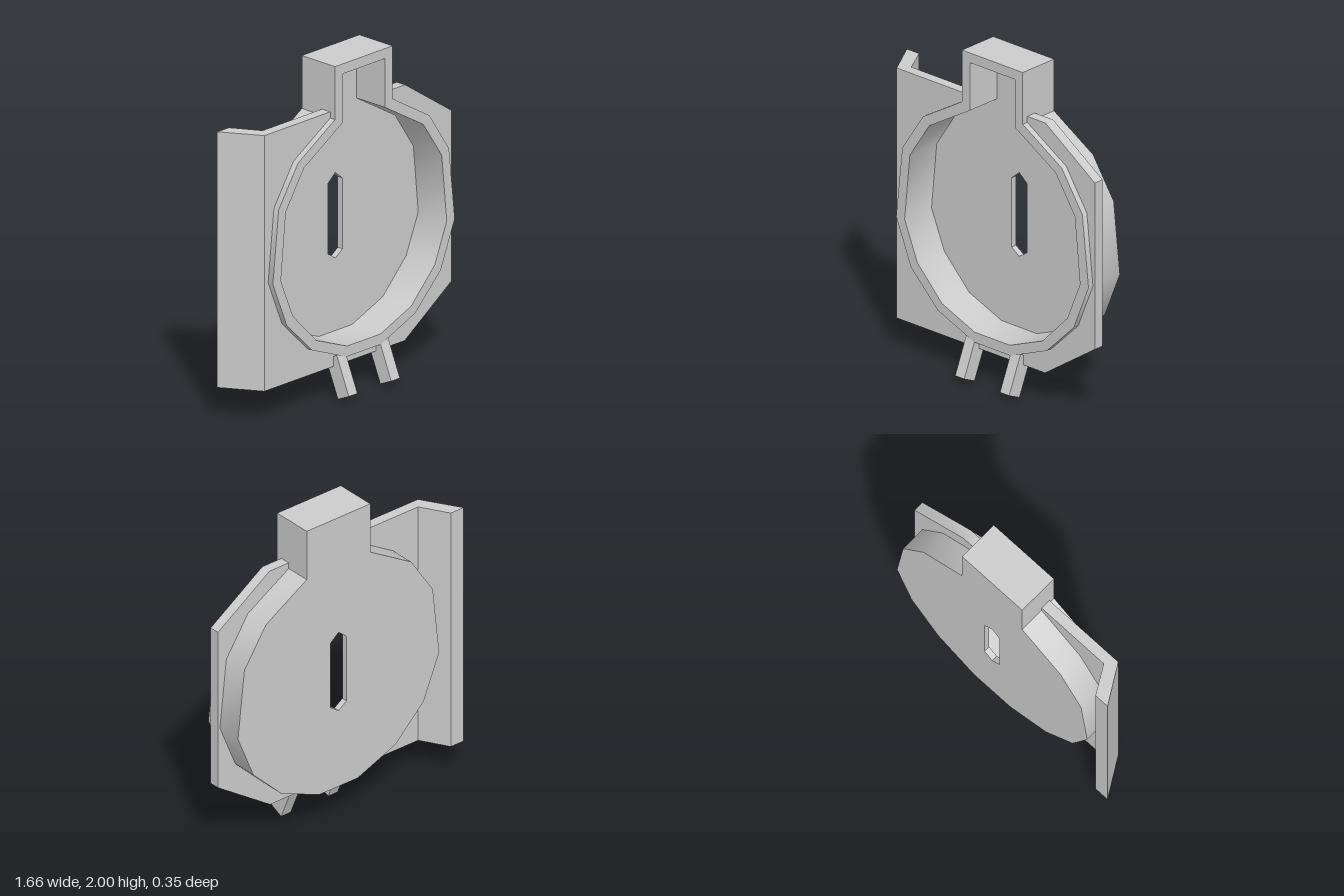
import * as THREE from 'three';
import { toCreasedNormals } from 'three/addons/utils/BufferGeometryUtils.js';

const CX = 0.077; // symmetry axis of the cup
const BACK = -0.165, FLOOR = -0.128, RIM = 0.094;
const PLATE_BACK = -0.007, PLATE_FRONT = 0.057;

// Right halves of the outlines, top to bottom, measured from the cup axis
const OUTER = [[0.233, 2], [0.233, 1.683], [0.532, 1.503], [0.69, 1.264], [0.737, 0.83], [0.624, 0.553], [0.418, 0.35], [0.14, 0.237]];
const INNER = [[0.172, 1.94], [0.172, 1.647], [0.484, 1.461], [0.632, 1.237], [0.672, 0.832], [0.574, 0.595], [0.384, 0.4], [0.135, 0.3]];
const SLOT = [[0, 1.247], [0.058, 1.198], [0.058, 0.774], [0, 0.734]];

// Complete a half outline by mirroring it across the cup axis (runs clockwise)
function mirrored(half) {
  const left = half.filter(([x]) => x > 0).reverse().map(([x, y]) => [-x, y]);
  return [...half, ...left].map(([x, y]) => new THREE.Vector2(x + CX, y));
}

const toPoints = (list) => list.map(([x, y]) => new THREE.Vector2(x, y));

// Holes run the other way round than the outline, so their walls face inwards
function extrude(points, depth, hole) {
  const shape = new THREE.Shape(points);
  if (hole) shape.holes.push(new THREE.Path([...hole].reverse()));
  return new THREE.ExtrudeGeometry(shape, { depth, bevelEnabled: false });
}

export function createModel() {
  const group = new THREE.Group();
  const material = new THREE.MeshStandardMaterial({ color: 0xcccccc });
  const add = (name, geometry) => {
    const mesh = new THREE.Mesh(toCreasedNormals(geometry, 0.65), material);
    mesh.name = name;
    group.add(mesh);
  };

  // Round cup with a square neck: wall and slotted floor
  const outer = mirrored(OUTER), inner = mirrored(INNER);
  add('cupWall', extrude(outer, RIM - BACK, inner).translate(0, 0, BACK));
  add('cupFloor', extrude(inner, FLOOR - BACK, mirrored(SLOT)).translate(0, 0, BACK));

  // Mounting plate, cut out around the cup and open at the neck
  const top = 1.72, bottom = 0.188;
  const cutout = outer.slice(1, -1);
  add('mountingPlate', extrude([
    ...toPoints([[-0.69, top], [-0.69, bottom], [0.447, bottom], [0.828, 0.445], [0.828, 1.465], [0.45, top], [CX + 0.233, top]]),
    ...cutout,
    ...toPoints([[CX - 0.233, top]]),
  ], PLATE_FRONT - PLATE_BACK).translate(0, 0, PLATE_BACK));

  // Flange bent backwards along one side of the plate (section drawn as x, -z)
  const flange = toPoints([[-0.69, -PLATE_FRONT], [-0.638, -PLATE_BACK], [-0.735, 0.177], [-0.829, 0.177]]);
  add('bentFlange', extrude(flange, top - bottom).rotateX(-Math.PI / 2).translate(0, bottom, 0));

  // Two slanted pins under the cup (section drawn as z, y)
  const pin = toPoints([[0.177, 0.038], [0.092, 0], [0, 0.215], [0.01, 0.225], [0.083, 0.262]]);
  for (const [name, x] of [['rightPin', -0.131], ['leftPin', 0.213]]) {
    add(name, extrude(pin, 0.07).rotateY(-Math.PI / 2).translate(x + 0.07, 0, 0));
  }
  return group;
}
